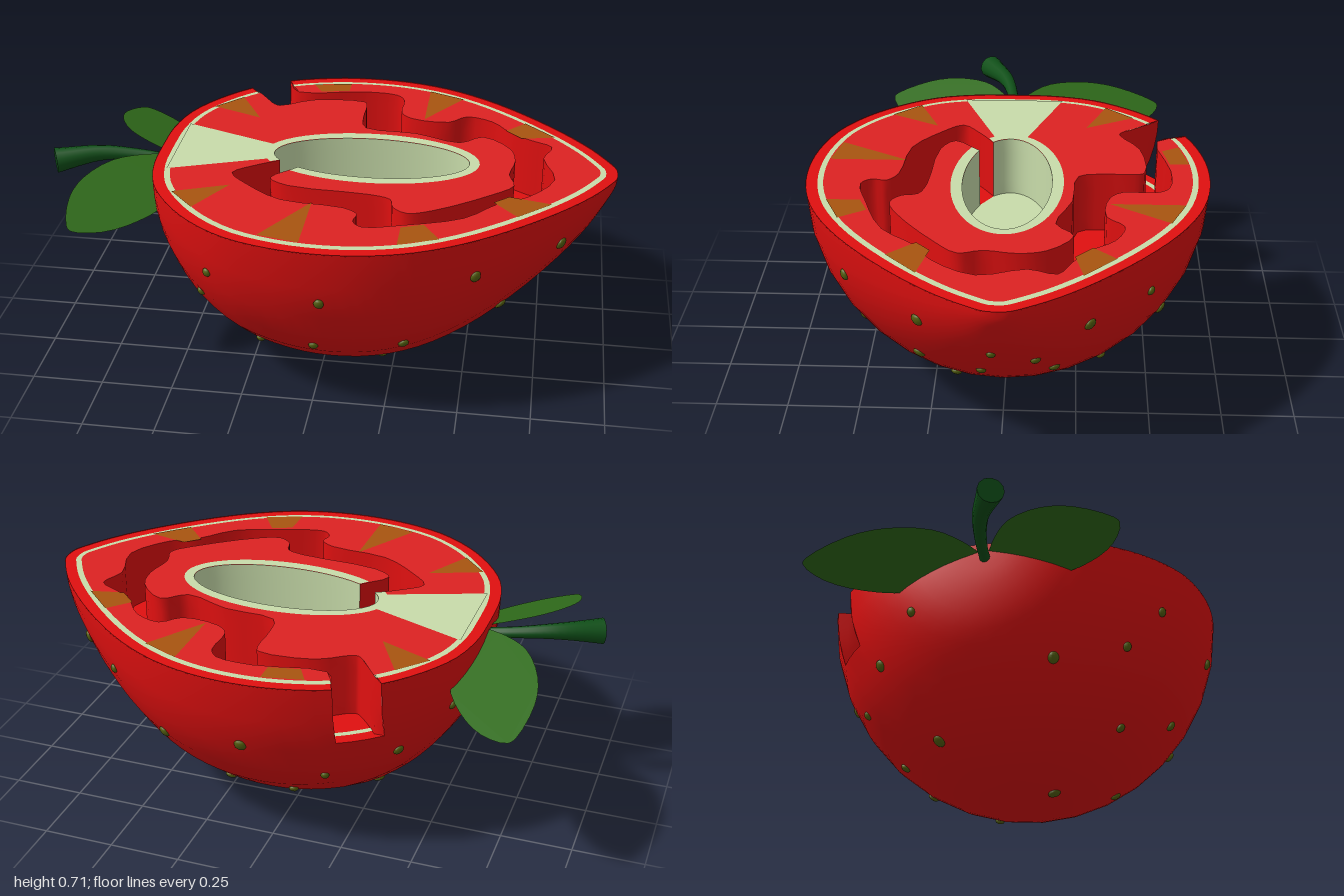
import * as THREE from 'three';

const TOP = 0.7, DEPTH = 0.22, STEP = 3;
const SKIN = 0xe01010, FLESH = 0xdd2222, PALE = 0xc8dcaa, BROWN = 0xa85510;

const mat = (color) => new THREE.MeshStandardMaterial({ color, side: THREE.DoubleSide });
function add(group, name, geo, color) {
  const mesh = new THREE.Mesh(geo, mat(color));
  mesh.name = name;
  group.add(mesh);
  return mesh;
}

// smooth line through [a, b] pairs; control point k lands on sample k * STEP
const smooth = (pts) =>
  new THREE.CatmullRomCurve3(pts.map(([a, b]) => new THREE.Vector3(a, b, 0)), false, 'centripetal')
    .getPoints((pts.length - 1) * STEP).map((p) => [p.x, p.y]);

// flat horizontal polygon from [x, z] points
function flat(pts, y) {
  const geo = new THREE.ShapeGeometry(new THREE.Shape(pts.map(([x, z]) => new THREE.Vector2(x, -z))));
  return geo.rotateX(-Math.PI / 2).translate(0, y, 0);
}

// smooth sheet of (nu + 1) x (nv + 1) points, with optional missing cells
function grid(nu, nv, fn, skip = () => false) {
  const pos = [], idx = [];
  for (let i = 0; i <= nu; i++) for (let j = 0; j <= nv; j++) pos.push(...fn(i, j));
  for (let i = 0; i < nu; i++) for (let j = 0; j < nv; j++) {
    if (skip(i, j)) continue;
    const a = i * (nv + 1) + j, b = a + nv + 1;
    idx.push(a, b, a + 1, b, b + 1, a + 1);
  }
  const geo = new THREE.BufferGeometry();
  geo.setAttribute('position', new THREE.Float32BufferAttribute(pos, 3));
  geo.setIndex(idx);
  geo.computeVertexNormals();
  return geo;
}

// half outline of the fruit: [x, radius]; control points 4 and 5 bound the notch
const profile = smooth([[-0.615, 0], [-0.61, 0.15], [-0.575, 0.3], [-0.5, 0.43], [-0.396, 0.545],
  [-0.262, 0.635], [-0.1, 0.685], [0.05, 0.7], [0.2, 0.688], [0.35, 0.645], [0.5, 0.565],
  [0.65, 0.45], [0.8, 0.305], [0.9, 0.185], [0.96, 0.09], [0.985, 0.04], [0.99, 0]])
  .map(([x, r]) => [x, Math.max(r, 0)]);
const N0 = 4 * STEP, N1 = 5 * STEP;
const radiusAt = (x) => {
  let i = 1;
  while (i < profile.length - 1 && profile[i][0] < x) i++;
  const [x0, r0] = profile[i - 1], [x1, r1] = profile[i];
  return r0 + (r1 - r0) * (x - x0) / (x1 - x0);
};
const backZ = (r, h) => -Math.sqrt(Math.max(r * r - h * h, 0));

// rim from the notch's right edge around the tip to its left edge, moved inward by d
function rim(d) {
  const pts = [
    ...profile.slice(N1).map(([x, r]) => [x, -r]),
    ...profile.slice(0, -1).reverse().map(([x, r]) => [x, r]),
    ...profile.slice(1, N0 + 1).map(([x, r]) => [x, -r])];
  return pts.map(([x, z], i) => {
    const p = pts[Math.max(i - 1, 0)], q = pts[Math.min(i + 1, pts.length - 1)];
    const tx = q[0] - p[0], tz = q[1] - p[1], l = Math.hypot(tx, tz);
    return [x - d * tz / l, z + d * tx / l];
  });
}

// oval arc, leaving a gap where the channel enters the hollow
function oval(a, b) {
  const pts = [];
  for (let i = 0; i <= 48; i++) {
    const t = THREE.MathUtils.degToRad(135 - 339 * i / 48);
    pts.push([0.135 + a * Math.cos(t), b * Math.sin(t)]);
  }
  return pts;
}
const hollow = oval(0.345, 0.155);

// the two sides of the winding channel, from the notch to the hollow
const outerSide = smooth([[-0.262, -0.635], [-0.21, -0.53], [0.03, -0.567], [0.165, -0.555],
  [0.198, -0.51], [0.2, -0.395], [0.245, -0.35], [0.38, -0.337], [0.444, -0.395], [0.54, -0.363],
  [0.61, -0.278], [0.685, -0.225], [0.76, -0.18], [0.733, -0.085], [0.775, 0.075], [0.685, 0.22],
  [0.594, 0.278], [0.487, 0.396], [0.3, 0.47], [0.166, 0.503], [0.132, 0.47], [0.138, 0.417],
  [0.085, 0.38], [-0.128, 0.353], [-0.262, 0.257], [-0.326, 0.18], [-0.262, 0.118], hollow[48]]);
const innerSide = smooth([[-0.396, -0.545], [-0.294, -0.417], [-0.262, -0.396], [-0.144, -0.465],
  [0.05, -0.475], [0.064, -0.44], [0.064, -0.34], [0.085, -0.246], [0.27, -0.225], [0.433, -0.17],
  [0.513, -0.23], [0.615, -0.144], [0.636, -0.048], [0.62, 0.06], [0.64, 0.14], [0.567, 0.22],
  [0.38, 0.36], [0.3, 0.39], [0.25, 0.355], [0.235, 0.3], [0.16, 0.275], [-0.12, 0.25],
  [-0.19, 0.2], hollow[0]]);

const cutTop = (d) => [...rim(d), ...innerSide.slice(STEP), ...hollow.slice(1, -1),
  ...outerSide.slice(STEP).reverse()];

// upright wall below a line; a line starting at the notch follows the round skin
const wall = (pts, fromNotch) => grid(pts.length - 1, 4, (i, j) => {
  const h = DEPTH * j / 4, [x, z] = pts[i];
  return [x, TOP - h, fromNotch && i === 0 ? backZ(Math.abs(z), h) : z];
});

function buildFruit(g) {
  // half-round skin with the notch left open
  const rows = 16;
  add(g, 'skin', grid(profile.length - 1, rows, (i, j) => {
    const [x, r] = profile[i];
    const a0 = i >= N0 && i <= N1 ? Math.asin(DEPTH / r) : Math.PI / 8;
    const a = j <= 2 ? a0 * j / 2 : a0 + (Math.PI - a0) * (j - 2) / (rows - 2);
    return [x, TOP - r * Math.sin(a), -r * Math.cos(a)];
  }, (i, j) => i >= N0 && i < N1 && j < 2), SKIN);

  // layered cut face
  add(g, 'skinRim', flat(cutTop(0), TOP - 0.003), SKIN);
  add(g, 'paleRing', flat(cutTop(0.04), TOP - 0.0015), PALE);
  add(g, 'flesh', flat(cutTop(0.06), TOP), FLESH);

  // channel and hollow
  add(g, 'channelOuterWall', wall(outerSide, true), SKIN);
  add(g, 'channelInnerWall', wall(innerSide, true), SKIN);
  add(g, 'hollowWall', wall(hollow, false), PALE);
  const edge = profile.slice(N0, N1 + 1).map(([x, r]) => [x, backZ(r, DEPTH)]);
  add(g, 'channelFloor', flat([...edge, ...outerSide.slice(1), ...innerSide.slice(1).reverse()],
    TOP - DEPTH), SKIN);
  add(g, 'hollowFloor', flat(hollow, TOP - DEPTH), PALE);
  const inset = (d) => edge.map(([x, z]) => [x + 0.6 * d, z + 0.8 * d]);
  add(g, 'notchPaleStrip', flat([...inset(0.04), ...inset(0.06).reverse()], TOP - DEPTH + 0.002), PALE);
  add(g, 'floorPatch', flat([[-0.155, -0.54], [-0.03, -0.555], [-0.03, -0.475], [-0.14, -0.47]],
    TOP - DEPTH + 0.002), 0x6b3a0a);

  // pale core around the hollow
  add(g, 'coreRing', flat([...oval(0.38, 0.195), ...hollow.slice().reverse()], TOP + 0.0015), PALE);
  add(g, 'coreWedge', flat([[-0.557, -0.185], [-0.225, -0.06], [-0.225, 0.06], [-0.557, 0.185]],
    TOP + 0.0015), PALE);

  // brown rays: two base corners, tip, and how far the ray runs at the back and front
  const rays = [
    [[-0.5, 0.35], [-0.41, 0.45], [-0.315, 0.275], 1, 1],
    [[-0.16, 0.605], [-0.02, 0.635], [-0.02, 0.36], 0.25, 1],
    [[0.29, 0.605], [0.42, 0.55], [0.29, 0.35], 1, 0.45],
    [[0.66, 0.365], [0.77, 0.26], [0.51, 0.2], 0.45, 0.55]];
  const mix = (p, q, t) => [p[0] + (q[0] - p[0]) * t, p[1] + (q[1] - p[1]) * t];
  for (const [a, b, tip, back, front] of rays) for (const [s, t] of [[-1, back], [1, front]]) {
    const pts = t < 1 ? [a, b, mix(b, tip, t), mix(a, tip, t)] : [a, b, tip];
    add(g, 'fleshRay', flat(pts.map(([x, z]) => [x, s * z]), TOP + 0.001), BROWN);
  }
}

// seeds lying on the skin: x, y, side (1 front, -1 back)
function buildSeeds(g) {
  const seeds = [[-0.34, 0.52, 1], [0.05, 0.5, 1], [0.54, 0.555, 1], [0.81, 0.555, 1],
    [-0.39, 0.375, 1], [0.01, 0.25, 1], [0.31, 0.26, 1], [0.62, 0.31, 1], [-0.2, 0.165, 1],
    [0.22, 0.085, 1], [-0.49, 0.31, 1], [-0.03, 0.015, 1], [0.86, 0.465, 1], [0.7, 0.3, 1],
    [0.51, 0.165, 1], [0.775, 0.53, -1], [0.58, 0.54, -1], [0.78, 0.395, -1], [0.65, 0.285, -1],
    [0.38, 0.355, -1], [0.45, 0.205, -1], [0.3, 0.055, -1], [0.2, 0.13, -1], [0.05, 0.44, -1],
    [-0.2, 0.3, -1], [-0.05, 0.15, -1], [-0.42, 0.38, -1], [-0.3, 0.13, -1], [-0.56, 0.5, -1]];
  const geo = new THREE.SphereGeometry(1, 10, 8);
  seeds.forEach(([x, y, side], i) => {
    const r = radiusAt(x), dy = y - TOP;
    const z = side * Math.sqrt(Math.max(r * r - dy * dy, 0));
    const slope = (radiusAt(x + 0.01) - radiusAt(x - 0.01)) / 0.02;
    const seed = add(g, 'seed', geo, 0x55600f);
    seed.position.set(x, y, z);
    seed.lookAt(x - slope * r, y + dy, z + z);
    const k = 0.8 + 0.1 * (i % 4);
    seed.scale.set(0.019 * k, 0.021 * k, 0.011);
  });
}

// tilted leaf beside the stem
function buildLeaf(g, side, stretch) {
  const half = smooth([[-0.59, 0.005], [-0.68, 0.05], [-0.77, 0.12], [-0.84, 0.24], [-0.86, 0.35],
    [-0.835, 0.475], [-0.815, 0.492], [-0.72, 0.455], [-0.62, 0.36], [-0.55, 0.24], [-0.56, 0.1]]);
  const geo = flat(half.map(([x, z]) => [x, side * z * stretch]), 0);
  const p = geo.attributes.position;
  for (let i = 0; i < p.count; i++) {
    const s = (-(p.getX(i) + 0.61) - Math.abs(p.getZ(i))) / Math.SQRT2;
    p.setY(i, 0.675 + 0.38 * s);
  }
  geo.computeVertexNormals();
  add(g, side > 0 ? 'frontLeaf' : 'backLeaf', geo, 0x2f6a1a);
}

// curved stem that thickens toward its cut end
function buildStem(g) {
  const curve = new THREE.CatmullRomCurve3([[-0.59, 0.645, 0], [-0.7, 0.66, 0.01],
    [-0.83, 0.672, 0.04], [-0.98, 0.665, 0.11]].map((p) => new THREE.Vector3(...p)));
  const geo = new THREE.TubeGeometry(curve, 16, 1, 12), p = geo.attributes.position;
  const v = new THREE.Vector3();
  for (let i = 0; i < p.count; i++) {
    const t = Math.floor(i / 13) / 16, c = curve.getPointAt(t);
    v.fromBufferAttribute(p, i).sub(c).multiplyScalar(0.018 + 0.027 * t * t).add(c);
    p.setXYZ(i, v.x, v.y, v.z);
  }
  add(g, 'stem', geo, 0x0f5018);
  const cap = add(g, 'stemEnd', new THREE.CircleGeometry(0.045, 12), 0x0f5018);
  cap.position.copy(curve.getPointAt(1));
  cap.lookAt(cap.position.clone().add(curve.getTangentAt(1)));
}

export function createModel() {
  const group = new THREE.Group();
  group.name = 'halfStrawberry';
  buildFruit(group);
  buildSeeds(group);
  buildLeaf(group, 1, 1);
  buildLeaf(group, -1, 1.15);
  buildStem(group);
  return group;
}
